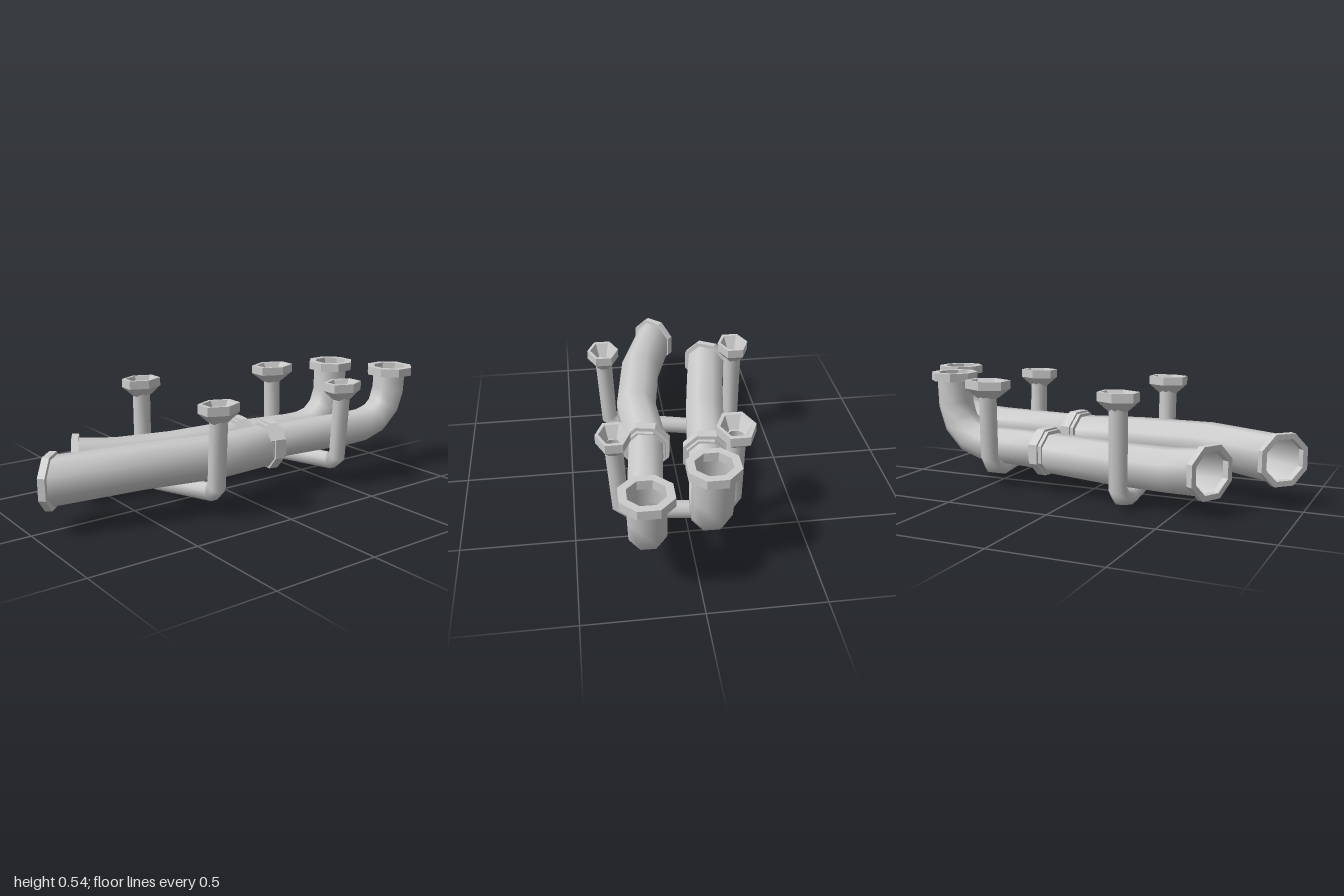
import * as THREE from 'three';

const V = (a) => new THREE.Vector3(...a);
const smooth = new THREE.MeshStandardMaterial({ color: 0xcccccc, side: THREE.DoubleSide });
const flat = new THREE.MeshStandardMaterial({ color: 0xcccccc, side: THREE.DoubleSide, flatShading: true });

function add(parent, name, geometry, material) {
  const mesh = new THREE.Mesh(geometry, material);
  mesh.name = name;
  parent.add(mesh);
  return mesh;
}

// Axes of a cross-section: n follows the side vector, t the path
function frame(t, side) {
  const n = side.clone().addScaledVector(t, -side.dot(t)).normalize();
  return { n, b: new THREE.Vector3().crossVectors(t, n) };
}

// Sweeps a polygon along stations [x, y, z, radius]; endDir tilts the last cut
function sweep(stations, sides, side, phase, endDir) {
  const pts = stations.map((s) => V(s.slice(0, 3)));
  const pos = [], index = [];
  const last = pts.length - 1;
  pts.forEach((p, i) => {
    const t = new THREE.Vector3();
    if (i > 0) t.add(p.clone().sub(pts[i - 1]).normalize());
    if (i < last) t.add(pts[i + 1].clone().sub(p).normalize());
    if (i === last && endDir) t.copy(endDir);
    t.normalize();
    const { n, b } = frame(t, side);
    for (let j = 0; j < sides; j++) {
      const a = phase + (j / sides) * Math.PI * 2;
      const v = p.clone().addScaledVector(n, Math.cos(a) * stations[i][3])
        .addScaledVector(b, Math.sin(a) * stations[i][3]);
      pos.push(v.x, v.y, v.z);
      if (i < last) {
        const k = i * sides + j, m = i * sides + (j + 1) % sides;
        index.push(k, m, k + sides, m, m + sides, k + sides);
      }
    }
  });
  const g = new THREE.BufferGeometry();
  g.setAttribute('position', new THREE.Float32BufferAttribute(pos, 3));
  g.setIndex(index);
  g.computeVertexNormals();
  return g;
}

const lathe = (profile, sides, phase) =>
  new THREE.LatheGeometry(profile.map((p) => new THREE.Vector2(...p)), sides, phase);

// Eight-sided ring whose axis points along dir
function ring(parent, name, profile, at, dir) {
  const mesh = add(parent, name, lathe(profile, 8, Math.PI / 8), flat);
  const t = dir.clone().normalize();
  const { n } = frame(t, new THREE.Vector3(1, 0, 0));
  mesh.quaternion.setFromRotationMatrix(
    new THREE.Matrix4().makeBasis(n, t, new THREE.Vector3().crossVectors(n, t)));
  mesh.position.copy(at);
}

const flange = (inner, outer, h) =>
  [[inner, -h], [outer, -h], [outer, h], [inner, h], [inner, -h]];
const collarProfile = [[0.08, -0.04], [0.1, -0.04], [0.1, -0.022], [0.118, -0.022],
  [0.118, 0.022], [0.108, 0.022], [0.108, 0.04], [0.09, 0.04]];

function mainPipe(name, stations, endDir, collarAt, collarDir) {
  const g = new THREE.Group();
  g.name = name;
  const dir = V(endDir).normalize();
  add(g, 'pipe', sweep(stations, 8, new THREE.Vector3(1, 0, 0), Math.PI / 8, dir), smooth);
  const top = V(stations[0].slice(0, 3));
  ring(g, 'topFlange', flange(0.08, 0.115, 0.02), top.setY(0.52), new THREE.Vector3(0, 1, 0));
  ring(g, 'frontFlange', flange(0.1, 0.126, 0.016), V(stations.at(-1).slice(0, 3)), dir);
  ring(g, 'collar', collarProfile, V(collarAt), V(collarDir));
  return g;
}

// Hexagonal cup that flares out at the top of a thin tube
const funnelProfile = [[0.45, 0], [1, 0.045], [1, 0.085], [0.8, 0.085], [0.48, 0.03]];

function crossTube(name, z, path, cups) {
  const g = new THREE.Group();
  g.name = name;
  add(g, 'tube', sweep(path.map(([x, y]) => [x, y, z, 0.042]), 8,
    new THREE.Vector3(0, 0, 1), Math.PI / 8), smooth);
  cups.forEach(([x, y, sx, sz], i) => {
    const cup = add(g, i ? 'leftFunnel' : 'rightFunnel', lathe(funnelProfile, 6, Math.PI / 2), flat);
    cup.scale.set(sx, 1, sz);
    cup.position.set(x, y, z);
  });
  return g;
}

export function createModel() {
  const model = new THREE.Group();
  model.name = 'pipeAssembly';

  // Two large pipes: upright mouth at the back, elbow, collar, angled front mouth
  model.add(mainPipe('leftPipe', [
    [0.217, 0.53, -0.885, 0.082], [0.217, 0.42, -0.88, 0.082], [0.214, 0.34, -0.855, 0.082],
    [0.21, 0.28, -0.795, 0.082], [0.206, 0.255, -0.71, 0.082], [0.2, 0.25, -0.6, 0.082],
    [0.152, 0.25, -0.17, 0.084], [0.15, 0.235, -0.13, 0.099], [0.168, 0.238, 0.17, 0.101],
    [0.115, 0.247, 0.53, 0.102], [0.005, 0.225, 0.9, 0.11],
  ], [-0.7, 0, 0.72], [0.152, 0.24, -0.155], [-0.2, 0, 0.98]));
  model.add(mainPipe('rightPipe', [
    [-0.062, 0.53, -0.74, 0.088], [-0.062, 0.38, -0.735, 0.088], [-0.065, 0.29, -0.705, 0.088],
    [-0.07, 0.225, -0.64, 0.088], [-0.077, 0.2, -0.56, 0.088], [-0.085, 0.196, -0.48, 0.088],
    [-0.126, 0.196, -0.2, 0.09], [-0.132, 0.19, -0.16, 0.098], [-0.175, 0.18, 0.18, 0.1],
    [-0.22, 0.185, 0.46, 0.101], [-0.258, 0.2, 0.65, 0.108],
  ], [-0.49, 0, 0.87], [-0.126, 0.196, -0.19], [-0.16, 0, 0.98]));

  // Two thin U-shaped tubes passing below the pipes
  model.add(crossTube('frontCrossTube', 0.258, [
    [-0.32, 0.47], [-0.32, 0.1], [-0.285, 0.06], [-0.19, 0.04],
    [0.262, 0.115], [0.298, 0.15], [0.314, 0.47],
  ], [[-0.32, 0.442, 0.074, 0.098], [0.315, 0.442, 0.074, 0.098]]));
  model.add(crossTube('backCrossTube', -0.462, [
    [-0.205, 0.47], [-0.2, 0.16], [-0.17, 0.11], [-0.08, 0.088],
    [0.255, 0.125], [0.296, 0.16], [0.314, 0.47],
  ], [[-0.203, 0.442, 0.086, 0.114], [0.315, 0.442, 0.074, 0.098]]));
  return model;
}
